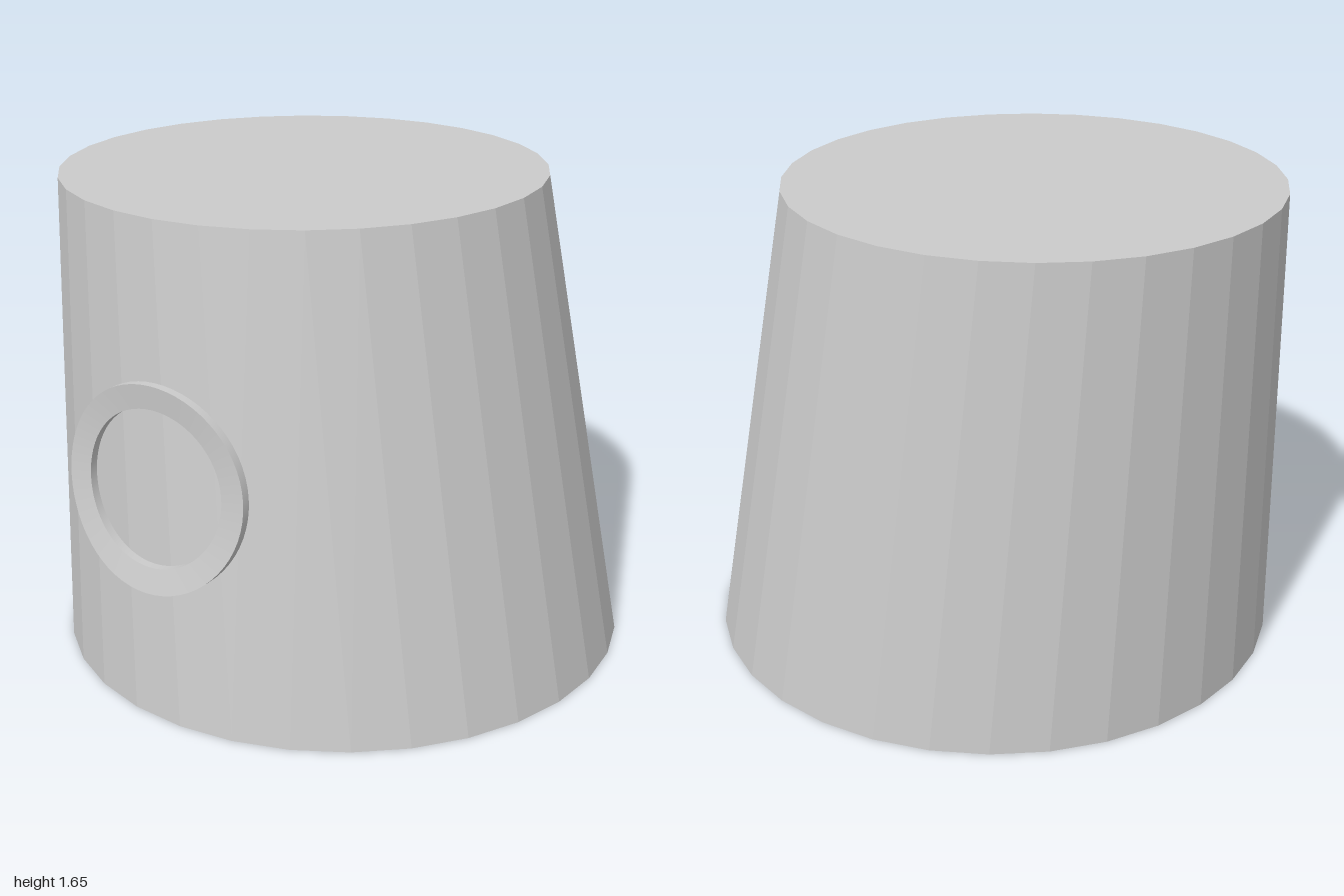
import * as THREE from 'three';
import { toCreasedNormals } from 'three/addons/utils/BufferGeometryUtils.js';

const HEIGHT = 1.65, TOP_RADIUS = 0.84, TOP_SHIFT = -0.16;

// Moves every vertex of a geometry by a rule
function deform(geometry, rule) {
  const pos = geometry.attributes.position;
  const v = new THREE.Vector3();
  for (let i = 0; i < pos.count; i++) {
    rule(v.fromBufferAttribute(pos, i));
    pos.setXYZ(i, v.x, v.y, v.z);
  }
  return geometry;
}

export function createModel() {
  const group = new THREE.Group();

  // Faceted tapered body, sheared so that its right side stands upright
  const bodyGeo = new THREE.CylinderGeometry(TOP_RADIUS, 1, HEIGHT, 32);
  bodyGeo.translate(0, HEIGHT / 2, 0);
  deform(bodyGeo, (v) => { v.x += TOP_SHIFT * v.y / HEIGHT; });
  const body = new THREE.Mesh(bodyGeo,
    new THREE.MeshStandardMaterial({ color: 0xcccccc, flatShading: true }));
  body.name = 'body';
  group.add(body);

  // Flat ring on the front, its lower half curving outwards
  const inner = 0.262, outer = 0.345, thickness = 0.03;
  const profile = [
    [inner, 0], [inner, -thickness], [outer, -thickness], [outer, 0], [inner, 0],
  ].map(([r, y]) => new THREE.Vector2(r, y));
  let ringGeo = new THREE.LatheGeometry(profile, 64);
  ringGeo.rotateX(Math.PI / 2);
  ringGeo.translate(-0.115, 0.802, 0);
  deform(ringGeo, (v) => { v.z += 0.93 + 0.3 * (0.95 - v.y) ** 2; });
  ringGeo = toCreasedNormals(ringGeo, 0.6);
  const ring = new THREE.Mesh(ringGeo, new THREE.MeshStandardMaterial({ color: 0xcccccc }));
  ring.name = 'frontRing';
  group.add(ring);

  return group;
}
